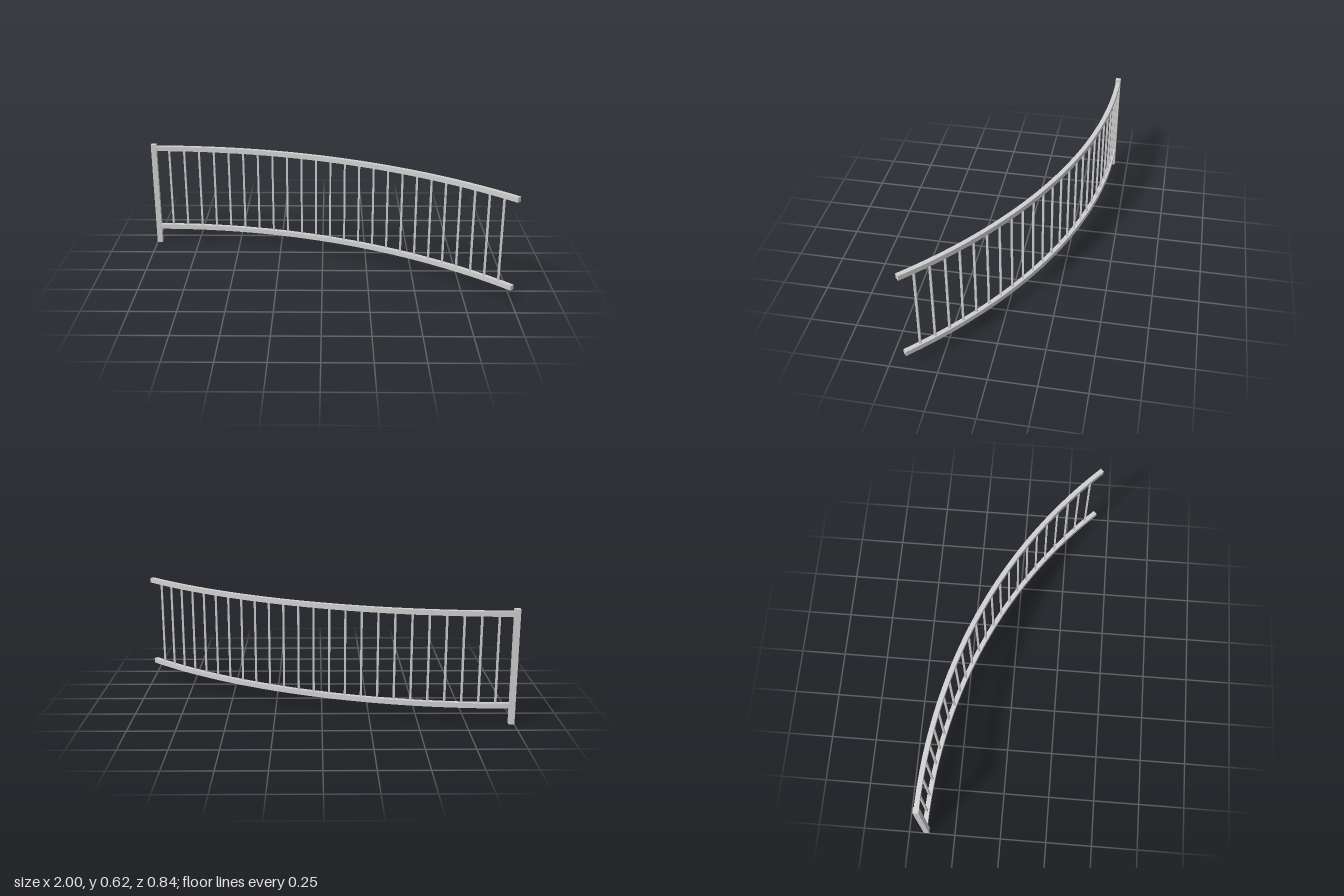
import * as THREE from 'three';

export function createModel() {
  const group = new THREE.Group();
  group.name = 'curvedRailing';
  const metal = new THREE.MeshStandardMaterial({ color: 0xd0d0d0 });
  metal.name = 'light grey metal';

  // Plan of the railing: an eighth of a circle, starting at the post
  const R = 2.793, startX = -0.985, startZ = -0.406;
  const centreZ = startZ + R, sweep = Math.PI / 4;
  const railWidth = 0.025, railHeight = 0.027;

  const add = (name, geometry, x, y, z) => {
    const mesh = new THREE.Mesh(geometry, metal);
    mesh.name = name;
    mesh.position.set(x, y, z);
    group.add(mesh);
  };

  // Curved rails: arc band extruded upward
  const band = new THREE.Shape();
  const a0 = Math.PI / 2, a1 = a0 - sweep;
  band.absarc(0, 0, R + railWidth / 2, a0, a1, true);
  band.absarc(0, 0, R - railWidth / 2, a1, a0, false);
  band.closePath();
  const rail = new THREE.ExtrudeGeometry(band, { depth: railHeight, bevelEnabled: false, curveSegments: 50 });
  rail.rotateX(-Math.PI / 2);
  add('bottomRail', rail, startX, 0.088, centreZ);
  add('topRail', rail, startX, 0.578, centreZ);

  // End post
  add('post', new THREE.BoxGeometry(0.03, 0.617, 0.03), startX, 0.3085, startZ);

  // Square balusters, evenly spaced along the arc
  const bays = 25;
  const baluster = new THREE.BoxGeometry(0.011, 0.47, 0.011);
  for (let i = 1; i < bays; i++) {
    const t = (sweep * i) / bays;
    add('baluster' + i, baluster, startX + R * Math.sin(t), 0.347, centreZ - R * Math.cos(t));
  }
  return group;
}
